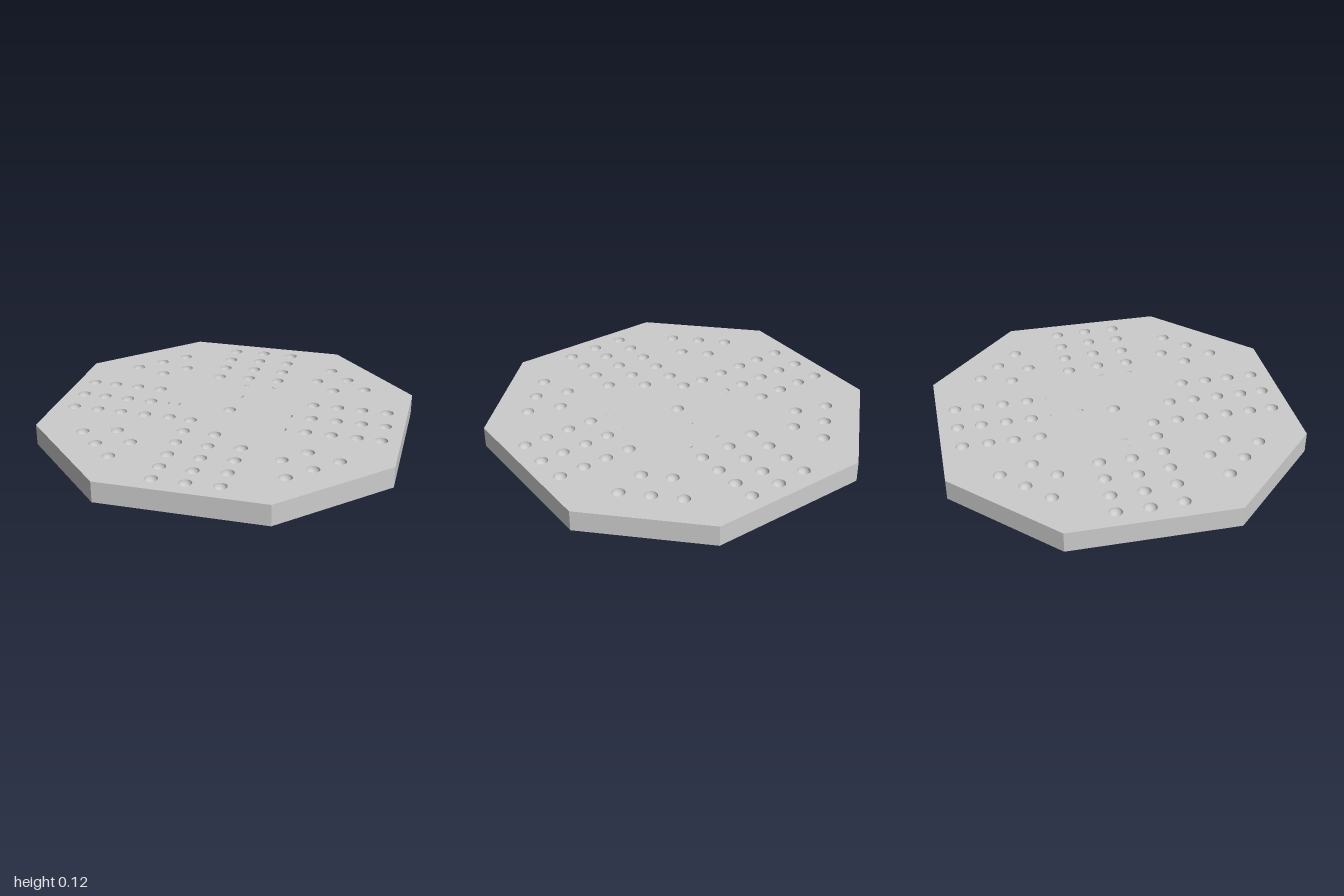
import * as THREE from 'three';

const HEIGHT = 0.12, CORNER = 0.465, R = 0.036;

// Dimple centres [x, z]: one arm and one corner cluster, repeated by quarter turns
function dimpleCentres() {
  const arm = [];
  for (const z of [-0.885, -0.74, -0.6, -0.455]) arm.push([-0.18, z]);
  for (const x of [0, 0.18]) for (const z of [-0.895, -0.762, -0.62, -0.477]) arm.push([x, z]);
  const corner = [[0.476, -0.715], [0.595, -0.595], [0.715, -0.476], [0.417, -0.535], [0.535, -0.417]];
  // centre hole and the extra holes next to the middle
  const list = [[0, 0], [-0.31, 0.178], [-0.18, 0.19], [-0.18, 0.333], [0, 0.333]];
  for (const [x, z] of [...arm, ...corner]) {
    list.push([x, z], [-z, x], [-x, -z], [z, -x]);
  }
  return list;
}

// Dimples almost covered by the top: [x, z, open angles...]
const covered = [
  [0, -0.333, Math.PI / 2],
  [0.18, -0.333, Math.PI / 2],
  [-0.335, 0, Math.PI, 0],
  [0.333, 0, 0],
  [0.333, 0.178, 0],
  [-0.003, -0.198, -0.25],
];

export function createModel() {
  const group = new THREE.Group();
  const material = new THREE.MeshStandardMaterial({ color: 0xcccccc, flatShading: true });
  const bowlMaterial = new THREE.MeshStandardMaterial({ color: 0xcccccc, side: THREE.DoubleSide });

  const add = (name, geometry, mat = material, parent = group) => {
    const mesh = new THREE.Mesh(geometry, mat);
    mesh.name = name;
    parent.add(mesh);
    return mesh;
  };

  const c = CORNER;
  const outline = [[1, -c], [1, c], [c, 1], [-c, 1], [-1, c], [-1, -c], [-c, -1], [c, -1]]
    .map(([x, y]) => new THREE.Vector2(x, y));

  // Top face with round openings and a few thin slits
  const top = new THREE.Shape(outline);
  const centres = dimpleCentres();
  const cut = (x, z, from, to) => {
    const hole = new THREE.Path();
    hole.absarc(x, -z, R, from, to, false);
    top.holes.push(hole);
  };
  for (const [x, z] of centres) cut(x, z, 0, Math.PI * 2);
  for (const [x, z, ...angles] of covered) {
    for (const a of angles) cut(x, z, a - 0.7, a + 0.7);
  }
  add('boardTop', new THREE.ShapeGeometry(top, 12).rotateX(-Math.PI / 2).translate(0, HEIGHT, 0));

  // Underside
  add('boardBottom', new THREE.ShapeGeometry(new THREE.Shape(outline)).rotateX(Math.PI / 2));

  // Eight flat edge walls
  const walls = [];
  outline.forEach((a, i) => {
    const b = outline[(i + 1) % outline.length];
    const a0 = [a.x, 0, -a.y], a1 = [a.x, HEIGHT, -a.y];
    const b0 = [b.x, 0, -b.y], b1 = [b.x, HEIGHT, -b.y];
    walls.push(...a0, ...b0, ...b1, ...a0, ...b1, ...a1);
  });
  const wallGeometry = new THREE.BufferGeometry();
  wallGeometry.setAttribute('position', new THREE.Float32BufferAttribute(walls, 3));
  wallGeometry.computeVertexNormals();
  add('boardEdge', wallGeometry);

  // Hemispherical bowls beneath the openings
  const dimples = new THREE.Group();
  dimples.name = 'dimples';
  group.add(dimples);
  const bowl = new THREE.SphereGeometry(R, 24, 8, 0, Math.PI * 2, Math.PI / 2, Math.PI / 2);
  for (const [x, z] of [...centres, ...covered]) {
    add('dimple', bowl, bowlMaterial, dimples).position.set(x, HEIGHT, z);
  }

  return group;
}
